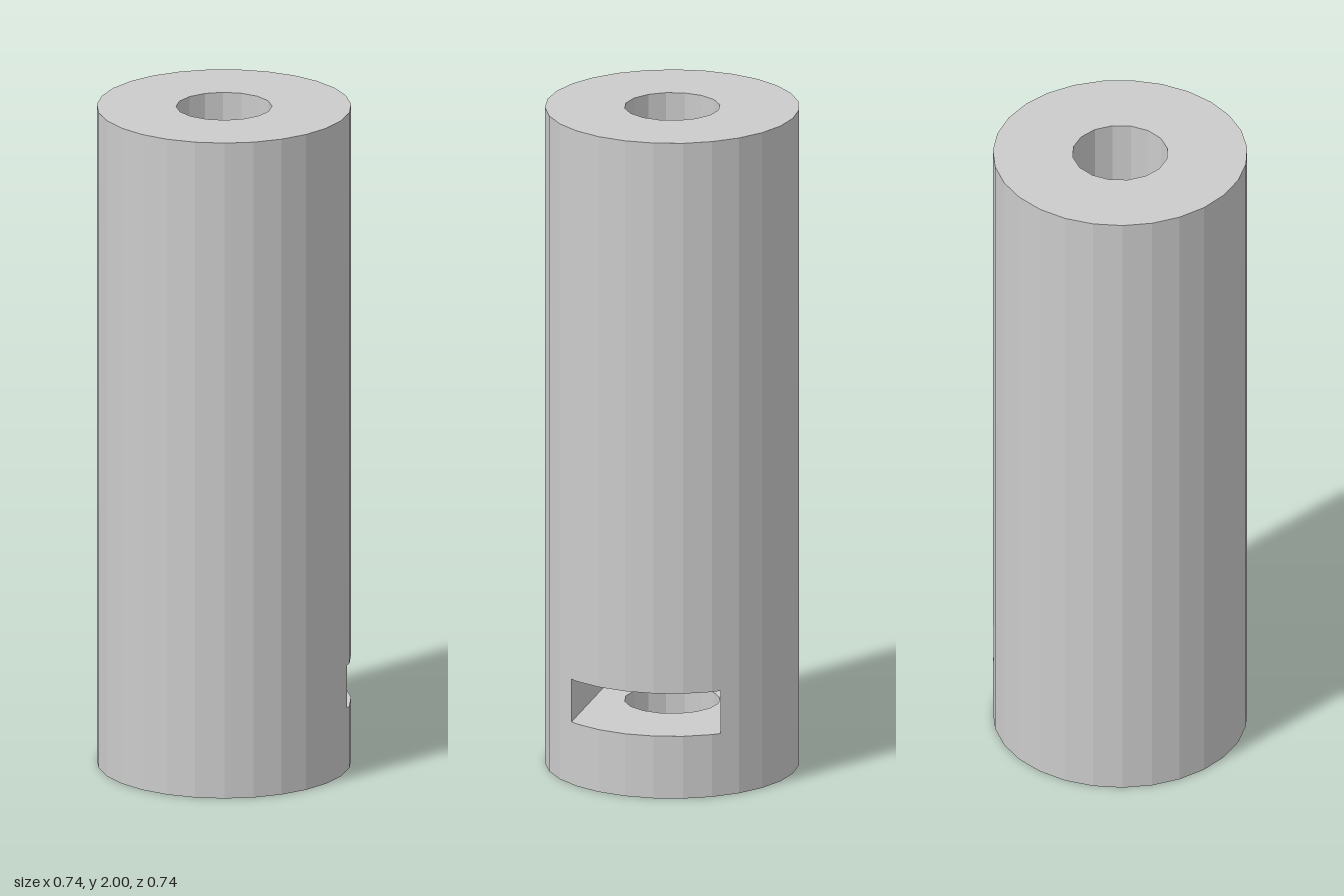
import * as THREE from 'three';

const R = 0.372, BORE = 0.14, SIDES = 27, BORE_SIDES = 16;
const HEIGHT = 2, SLOT_LOW = 0.19, SLOT_HIGH = 0.32;
const HALF = 0.225, HEX = HALF / Math.cos(Math.PI / 6); // hexagonal slot

// Points are (x, -z), counter-clockwise from above
const ring = (r, n, start) => Array.from({ length: n }, (_, i) => {
  const a = start + (i / n) * Math.PI * 2;
  return new THREE.Vector2(r * Math.cos(a), r * Math.sin(a));
});

// Upright wall following a closed outline, facing to the right of its direction
function wall(points, y0, y1) {
  const pos = [];
  points.forEach((a, i) => {
    const b = points[(i + 1) % points.length];
    const a0 = [a.x, y0, -a.y], b0 = [b.x, y0, -b.y];
    const a1 = [a.x, y1, -a.y], b1 = [b.x, y1, -b.y];
    pos.push(...a0, ...b0, ...b1, ...a0, ...b1, ...a1);
  });
  const g = new THREE.BufferGeometry();
  g.setAttribute('position', new THREE.Float32BufferAttribute(pos, 3));
  g.computeVertexNormals();
  return g;
}

// Level face with a hole, facing up or down
function face(outline, hole, y, up) {
  const pts = up ? outline : outline.map(p => new THREE.Vector2(p.x, -p.y));
  const holePts = up ? hole : hole.map(p => new THREE.Vector2(p.x, -p.y));
  const shape = new THREE.Shape(pts);
  shape.holes.push(new THREE.Path(holePts));
  return new THREE.ShapeGeometry(shape).rotateX(up ? -Math.PI / 2 : Math.PI / 2).translate(0, y, 0);
}

export function createModel() {
  const group = new THREE.Group();
  group.name = 'slottedSleeve';
  const material = new THREE.MeshStandardMaterial({ color: 0xcccccc, flatShading: true });
  const add = (name, geometry) => {
    const mesh = new THREE.Mesh(geometry, material);
    mesh.name = name;
    group.add(mesh);
  };

  const outer = ring(R, SIDES, Math.PI / SIDES);
  const bore = ring(BORE, BORE_SIDES, 0);
  const inward = [...bore].reverse();

  // Slot mouth: where the slot sides meet the outer facets
  const k = outer.findIndex(p => p.y > HALF);
  const t = (HALF - outer[k - 1].y) / (outer[k].y - outer[k - 1].y);
  const mouthX = THREE.MathUtils.lerp(outer[k - 1].x, outer[k].x, t);
  const slotPath = [
    [mouthX, -HALF], [-HEX / 2, -HALF], [-HEX, 0], [-HEX / 2, HALF], [mouthX, HALF],
  ].map(([x, y]) => new THREE.Vector2(x, y));
  const cutOutline = [...outer.slice(k, SIDES - k), ...slotPath];
  const slotOutline = [...outer.slice(SIDES - k), ...outer.slice(0, k), ...[...slotPath].reverse()];

  // Sleeve below and above the slot
  for (const [name, y0, y1] of [['lower', 0, SLOT_LOW], ['upper', SLOT_HIGH, HEIGHT]]) {
    add(name + 'OuterWall', wall(outer, y0, y1));
    add(name + 'BoreWall', wall(inward, y0, y1));
  }
  add('topFace', face(outer, bore, HEIGHT, true));
  add('bottomFace', face(outer, bore, 0, false));

  // Hexagonal slot reaching through the bore, open on one side
  add('slotBand', wall(cutOutline, SLOT_LOW, SLOT_HIGH));
  add('slotFloor', face(slotOutline, bore, SLOT_LOW, true));
  add('slotCeiling', face(slotOutline, bore, SLOT_HIGH, false));

  return group;
}
